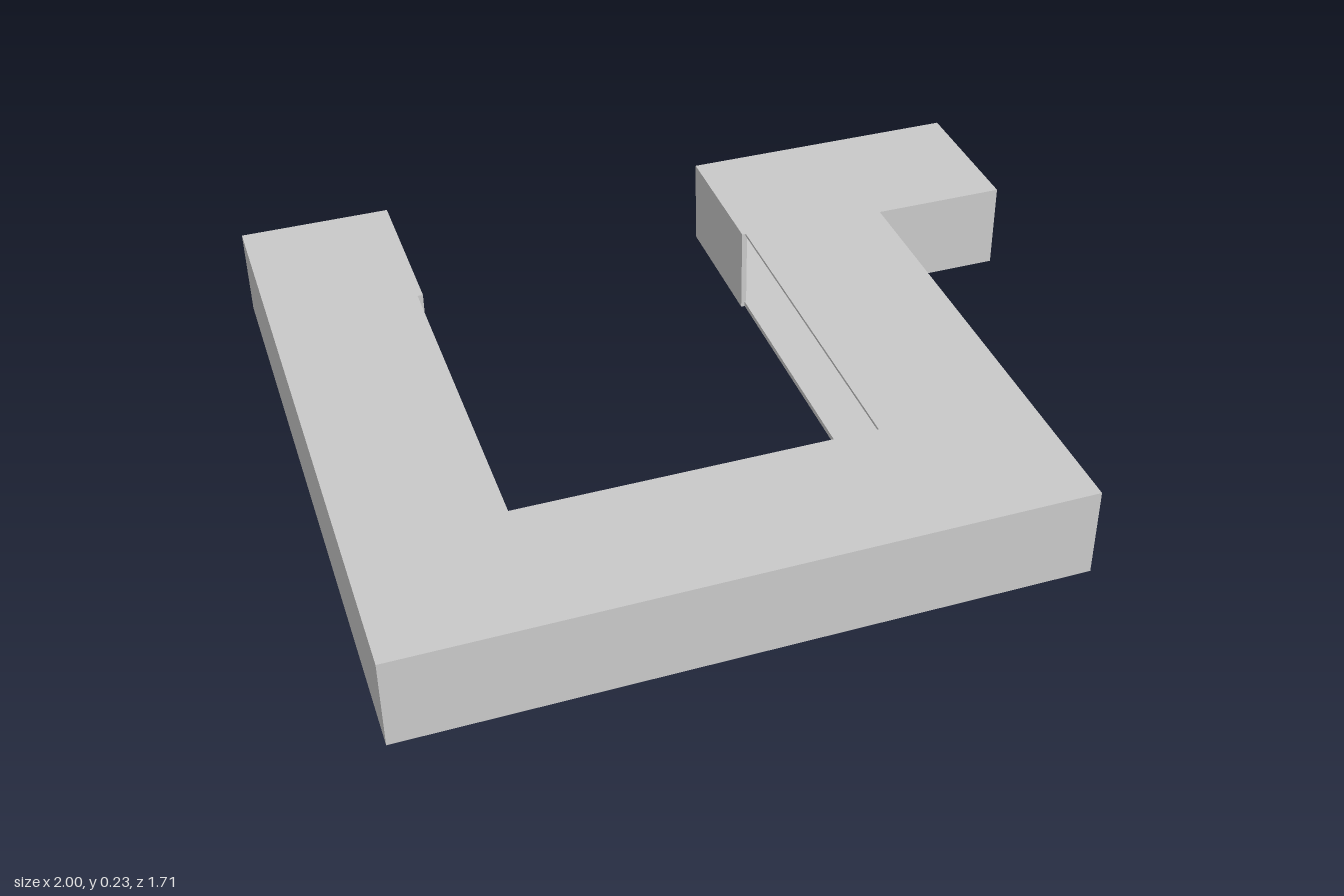
import * as THREE from 'three';

const material = new THREE.MeshStandardMaterial({ color: 0xcccccc, flatShading: true });
const H = 0.233;      // duct height
const T = 0.014;      // floor and wall thickness
const LID = 0.007;    // lid thickness

// Plan of the duct as [x, z] corners
const plan = [
  [-1, 0.853], [0.647, 0.853], [0.647, -0.403], [0.997, -0.403], [0.997, -0.798],
  [0.257, -0.798], [0.257, -0.42], [0.267, -0.42], [0.267, 0.475],
  [-0.623, 0.475], [-0.623, -0.42], [-0.609, -0.42], [-0.609, -0.853], [-1, -0.853],
];

function toShape(points) {
  return new THREE.Shape(points.map(([a, b]) => new THREE.Vector2(a, b)));
}

export function createModel() {
  const group = new THREE.Group();

  function add(name, geometry) {
    const mesh = new THREE.Mesh(geometry, material);
    mesh.name = name;
    group.add(mesh);
  }

  // Horizontal sheet following the plan
  function sheet(name, y, thickness) {
    const g = new THREE.ExtrudeGeometry(toShape(plan), { depth: thickness, bevelEnabled: false });
    g.rotateX(Math.PI / 2).translate(0, y + thickness, 0);
    add(name, g);
  }

  // Upright wall between floor and lid, filling a rectangle of the plan
  function wall(name, x0, x1, z0, z1) {
    const h = H - T - LID;
    const g = new THREE.BoxGeometry(x1 - x0, h, z1 - z0);
    g.translate((x0 + x1) / 2, T + h / 2, (z0 + z1) / 2);
    add(name, g);
  }

  sheet('floor', 0, T);
  sheet('lid', H - LID, LID);

  // Outer walls; the inside of the U stays open
  wall('rightOuterWall', -1, -1 + T, -0.853, 0.853 - T);
  wall('frontWall', -1, 0.647, 0.853 - T, 0.853);

  // Short walls closing the inner side near both open ends
  wall('rightEndInnerWall', -0.609 - T, -0.609, -0.853, -0.42);
  wall('outletInnerWall', 0.257, 0.257 + T, -0.798 + T, -0.42);

  // Side outlet
  wall('outletBackWall', 0.257, 0.997, -0.798, -0.798 + T);
  wall('outletFrontWall', 0.647, 0.997, -0.403 - T, -0.403);

  // Left outer wall with a small rectangular window, drawn in [z, y]
  const side = toShape([[-0.403 - T, T], [0.853 - T, T], [0.853 - T, H - LID], [-0.403 - T, H - LID]]);
  side.holes.push(toShape([[-0.375, 0.14], [-0.375, 0.213], [-0.26, 0.213], [-0.26, 0.14]]));
  const sideGeometry = new THREE.ExtrudeGeometry(side, { depth: T, bevelEnabled: false });
  sideGeometry.rotateY(-Math.PI / 2).translate(0.647, 0, 0);
  add('leftOuterWall', sideGeometry);

  return group;
}
